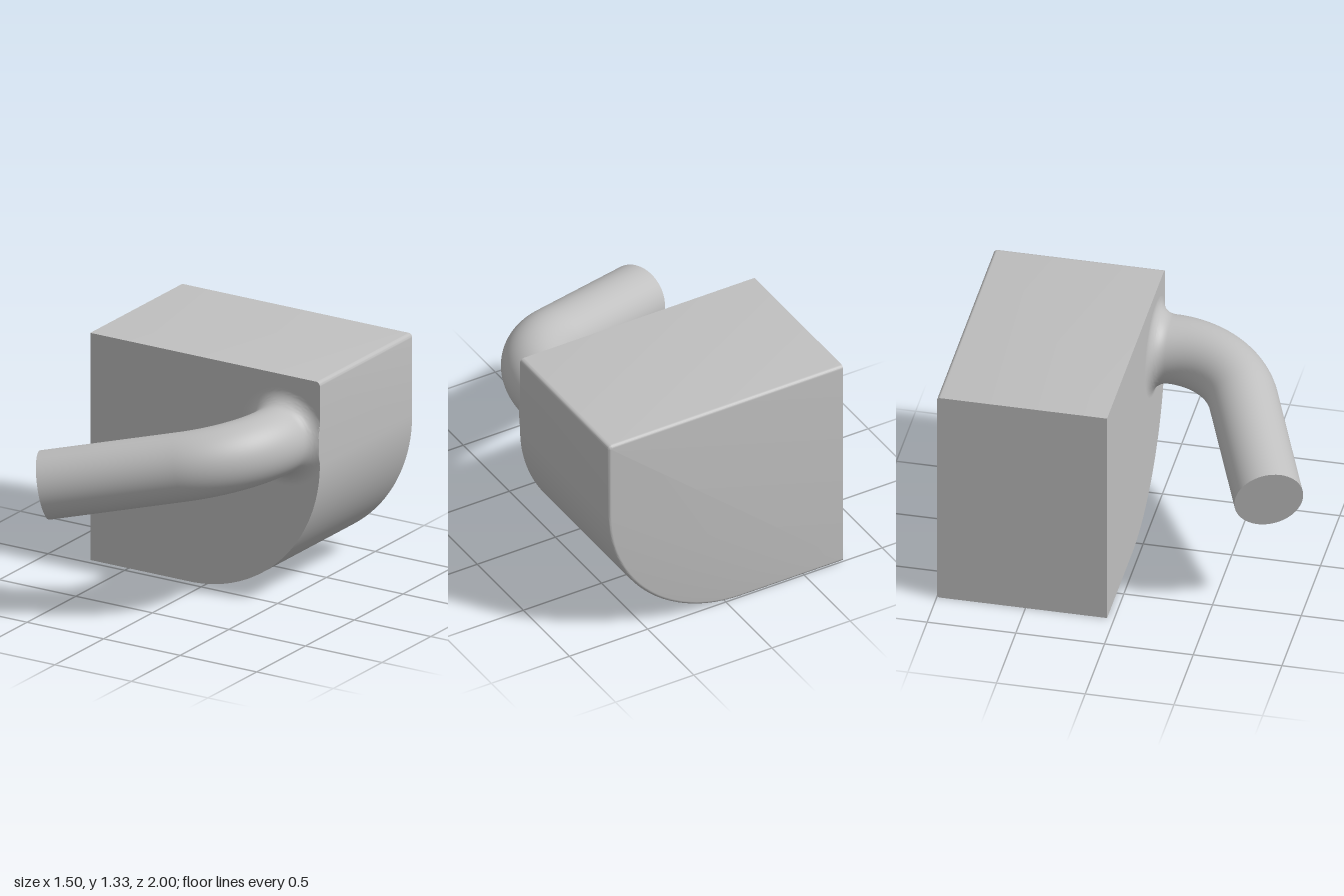
import * as THREE from 'three';
import { toCreasedNormals } from 'three/addons/utils/BufferGeometryUtils.js';

const FRONT = -0.04, BACK = -1, HALF = 0.75, TOP = 1.33;

// Skin convex rings listed front to back, each counter-clockwise seen from the front.
function loft(rings, capBack) {
  const n = rings[0].length, index = [];
  for (let k = 0; k < rings.length - 1; k++) {
    for (let i = 0; i < n; i++) {
      const j = (i + 1) % n;
      const a = k * n + i, b = k * n + j, c = a + n, d = b + n;
      index.push(a, c, b, b, c, d);
    }
  }
  const last = (rings.length - 1) * n;
  for (let i = 1; i < n - 1; i++) {
    index.push(0, i, i + 1);
    if (capBack) index.push(last, last + i + 1, last + i);
  }
  const geometry = new THREE.BufferGeometry().setFromPoints(rings.flat());
  geometry.setIndex(index);
  return toCreasedNormals(geometry, 0.5);
}

// Block outline shrunk by d on every side except the flat left one in x.
function blockRing(d, z) {
  const points = [new THREE.Vector3(-HALF, d, z)];
  const arc = (cx, cy, r, from, steps) => {
    for (let i = 0; i <= steps; i++) {
      const a = from + (i / steps) * Math.PI / 2;
      points.push(new THREE.Vector3(cx + r * Math.cos(a), cy + r * Math.sin(a), z));
    }
  };
  arc(-0.1, 0.85, 0.85 - d, -Math.PI / 2, 48);
  arc(HALF - 0.025, TOP - 0.025, 0.025 - d, 0, 6);
  points.push(new THREE.Vector3(-HALF, TOP - d, z));
  return points;
}

function blockGeometry() {
  const bevel = 0.02, rings = [blockRing(0, FRONT)];
  for (let i = 0; i <= 6; i++) {
    const a = (i / 6) * Math.PI / 2;
    rings.push(blockRing(bevel * (1 - Math.cos(a)), BACK + bevel * (1 - Math.sin(a))));
  }
  return loft(rings, true);
}

// Bent bar: straight tip, circular bend, flared root trimmed flush with the block side.
function barGeometry() {
  const radius = 0.193, flare = 0.09, bendR = 0.51, bend = 1.181, straight = 0.778;
  const root = new THREE.Vector3(0.512, 0.967, FRONT);
  const zAxis = new THREE.Vector3(0, 0, 1);
  const u = new THREE.Vector3(-0.977, -0.211, 0).normalize();
  const side = zAxis.clone().cross(u);
  const ring = (along, z, angle, r) => {
    const centre = root.clone().addScaledVector(u, along).setZ(z);
    const normal = u.clone().multiplyScalar(Math.cos(angle)).addScaledVector(zAxis, -Math.sin(angle));
    return Array.from({ length: 72 }, (_, i) => {
      const a = (i / 72) * Math.PI * 2;
      const offset = normal.clone().multiplyScalar(r * Math.cos(a)).addScaledVector(side, r * Math.sin(a));
      const room = HALF - centre.x;
      if (offset.x > room) offset.multiplyScalar(room / offset.x);
      return offset.add(centre);
    });
  };
  const bendZ = FRONT + flare;
  const at = (angle) => [bendR * (1 - Math.cos(angle)), bendZ + bendR * Math.sin(angle)];
  const [endU, endZ] = at(bend);
  const rings = [ring(endU + straight * Math.sin(bend), endZ + straight * Math.cos(bend), bend, radius)];
  for (let i = 28; i >= 0; i--) {
    const angle = (i / 28) * bend;
    rings.push(ring(...at(angle), angle, radius));
  }
  for (let i = 1; i <= 16; i++) {
    const a = (i / 16) * Math.PI / 2;
    rings.push(ring(0, bendZ - flare * Math.sin(a), 0, radius + flare * (1 - Math.cos(a))));
  }
  return loft(rings, false);
}

export function createModel() {
  const group = new THREE.Group();
  const grey = new THREE.MeshStandardMaterial({ color: 0xbfbfbf });
  grey.name = 'grey';
  const add = (name, geometry) => {
    const mesh = new THREE.Mesh(geometry, grey);
    mesh.name = name;
    group.add(mesh);
  };
  add('block', blockGeometry());
  add('bentBar', barGeometry());
  return group;
}
